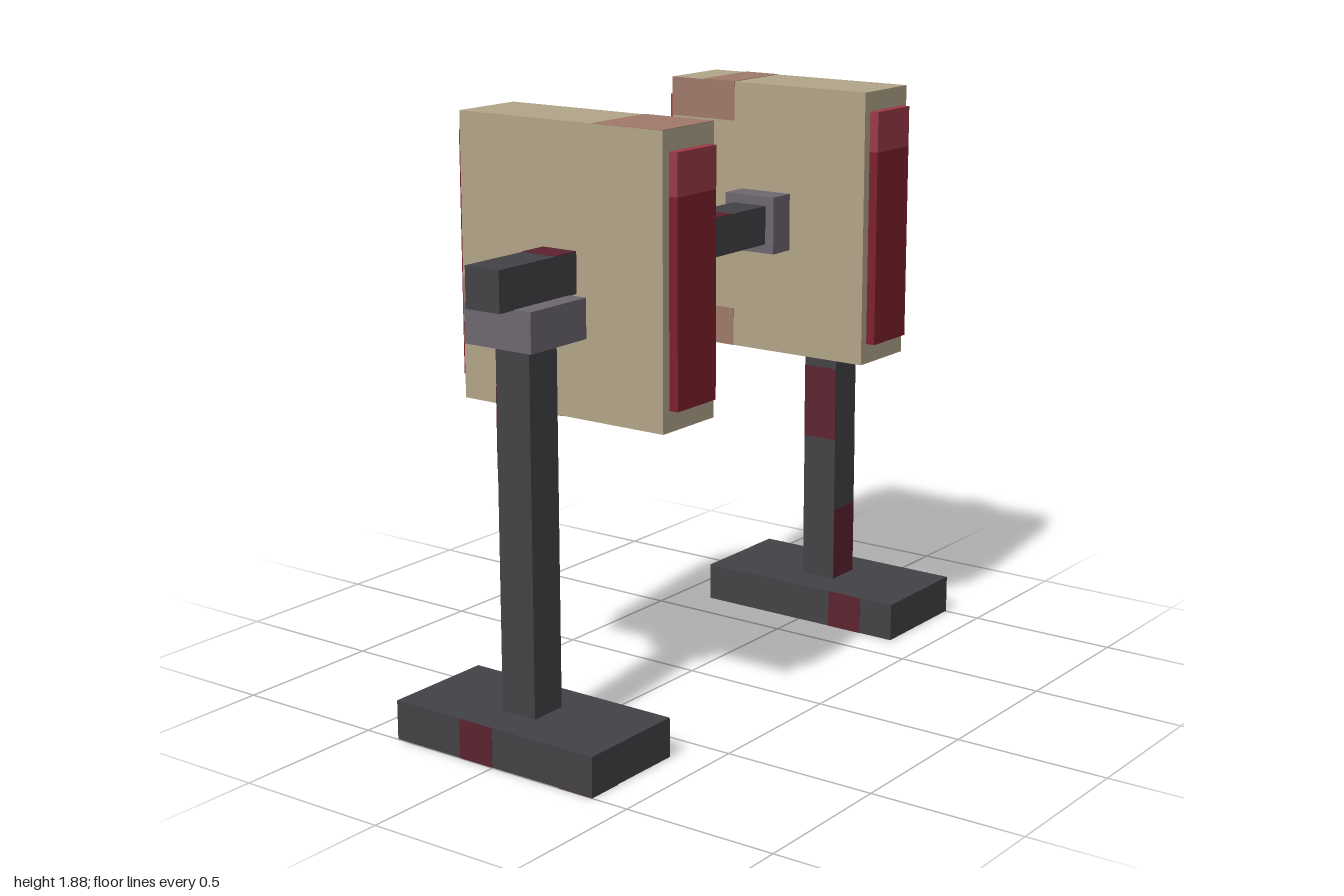
import * as THREE from 'three';

const mat = (name, color) => {
  const m = new THREE.MeshStandardMaterial({ color });
  m.name = name;
  return m;
};

export function createModel() {
  const model = new THREE.Group();
  model.name = 'doublePanelStand';

  const tan = mat('tan', 0xb3a58a);
  const tanStain = mat('tanStain', 0xa07a6a);
  const red = mat('red', 0x7d212c);
  const lightRed = mat('lightRed', 0x9b3a47);
  const iron = mat('darkIron', 0x434246);
  const ironStain = mat('ironStain', 0x5c2330);
  const grey = mat('grey', 0x6e6870);

  // Box from its limits on each axis
  const box = (name, m, [x0, x1], [y0, y1], [z0, z1]) => {
    const g = new THREE.BoxGeometry(Math.abs(x1 - x0), Math.abs(y1 - y0), Math.abs(z1 - z0));
    const mesh = new THREE.Mesh(g, m);
    mesh.name = name;
    mesh.position.set((x0 + x1) / 2, (y0 + y1) / 2, (z0 + z1) / 2);
    model.add(mesh);
  };
  // Thin plate lying on a face: the axis given as a single number is the face position
  const T = 0.0015;
  const plate = (name, m, ...axes) =>
    box(name, m, ...axes.map((a) => (Array.isArray(a) ? a : [a - T, a + T])));

  // Cross bar
  box('crossBar', iron, [-1, 1], [1.375, 1.5], [-0.0625, 0.0625]);

  for (const s of [1, -1]) {
    const mx = (a, b) => [s * a, s * b];
    // Stand
    box('base', iron, mx(0.627, 1), [0, 0.125], [-0.375, 0.375]);
    box('post', iron, mx(0.75, 0.875), [0.125, 1.25], [-0.0625, 0.0625]);
    box('bracket', grey, mx(0.688, 0.938), [1.255, 1.377], [-0.123, 0.123]);
    // Hanging block with its collar
    box('block', tan, mx(0.408, 0.655), [1, 1.877], [-0.375, 0.375]);
    box('collar', grey, mx(0.315, 0.408), [1.345, 1.53], [-0.094, 0.094]);
    // Red pads on both narrow ends, lighter at the top
    for (const f of [1, -1]) {
      box('pad', red, mx(0.438, 0.625), [1.065, 1.687], [f * 0.375, f * 0.405]);
      box('padTop', lightRed, mx(0.438, 0.625), [1.687, 1.815], [f * 0.375, f * 0.405]);
    }
  }

  // Stains on the tan blocks
  const blockStains = [
    [0.655, [1.375, 1.5], [-0.123, 0.123]],
    [0.655, [1, 1.125], [-0.375, 0.123]],
    [0.408, [1.75, 1.877], [-0.375, -0.125]],
    [0.408, [1, 1.125], [-0.375, -0.125]],
    [-0.408, [1.375, 1.5], [-0.375, 0.12]],
    [-0.655, [1.25, 1.375], [-0.375, -0.125]],
    [[-0.655, -0.408], 1.877, [0.125, 0.375]],
    [[0.408, 0.655], 1.877, [-0.25, -0.125]],
    [[-0.655, -0.408], 1, [-0.125, 0]],
  ];
  blockStains.forEach((d) => plate('blockStain', tanStain, ...d));

  // Stains on the iron bar, posts and bases
  const ironStains = [
    [[-0.25, -0.13], [1.375, 1.5], 0.0625],
    [[0, 0.125], 1.5, [-0.0625, 0.0625]],
    [[-0.75, -0.65], 1.5, [-0.0625, 0.0625]],
    [[0.75, 0.875], [0.125, 0.375], 0.0625],
    [0.875, [0.375, 0.625], [-0.0625, 0.0625]],
    [0.75, [0.625, 0.875], [-0.0625, 0.0625]],
    [[-0.875, -0.75], [0.875, 1.125], -0.0625],
    [[0.875, 1], [0, 0.125], -0.375],
    [0.627, [0, 0.125], [0.125, 0.25]],
    [-1, [0, 0.125], [-0.125, 0]],
    [[0.81, 1], 0, [0, 0.125]],
    [[-1, -0.88], 0, [0.25, 0.375]],
  ];
  ironStains.forEach((d) => plate('ironStain', ironStain, ...d));

  return model;
}
